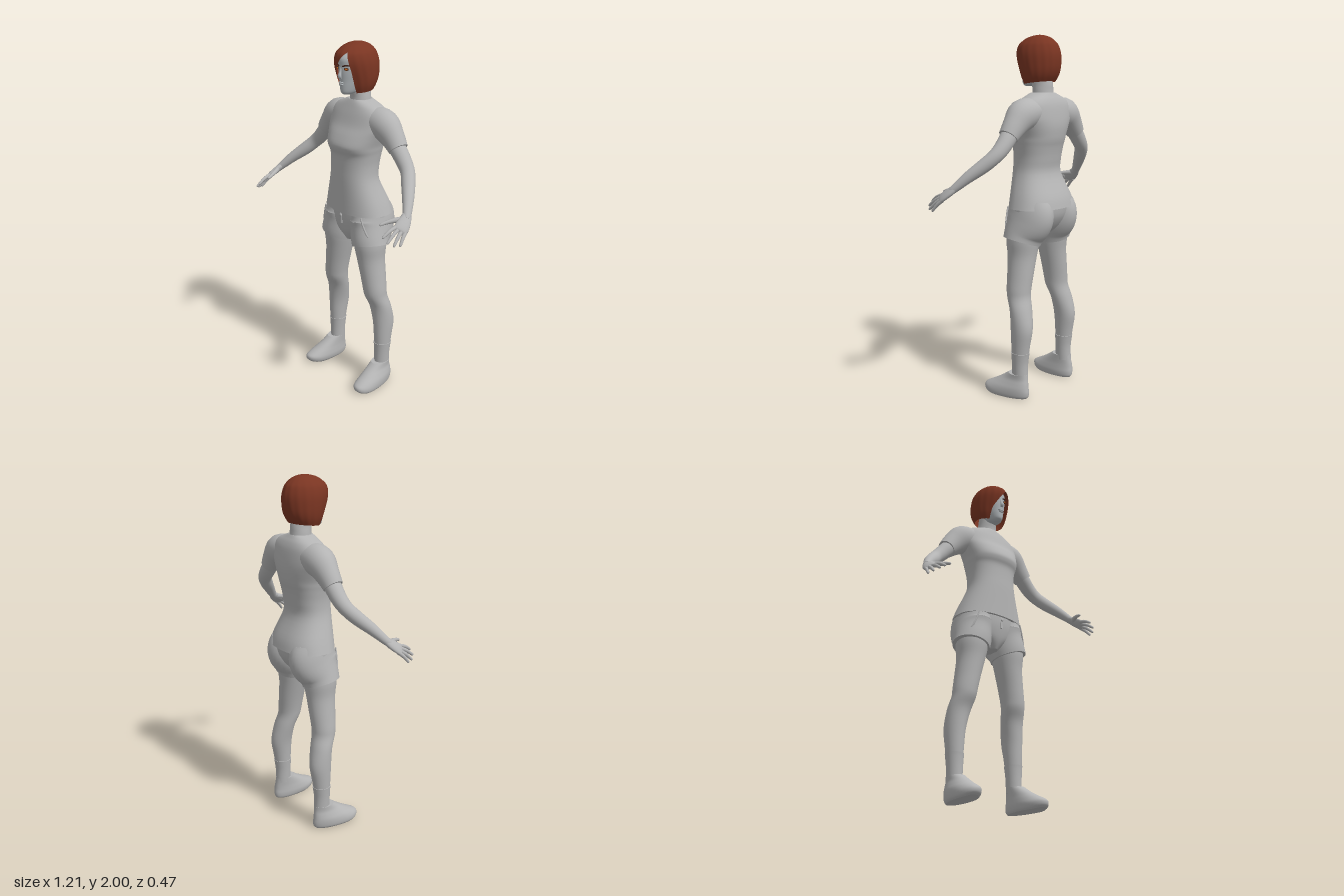
import * as THREE from 'three';

const mat = (name, color, side = THREE.FrontSide) => {
  const m = new THREE.MeshStandardMaterial({ color, side });
  m.name = name;
  return m;
};

// Smooth values between rows of numbers (Catmull-Rom)
function resample(rows, steps) {
  const out = [], last = rows.length - 1;
  for (let i = 0; i < last; i++) for (let k = 0; k < steps; k++) {
    const t = k / steps, p = j => rows[Math.min(last, Math.max(0, j))];
    out.push(rows[i].map((b, c) => {
      const a = p(i - 1)[c], d = p(i + 1)[c], e = p(i + 2)[c];
      return b + 0.5 * t * (d - a + t * (2 * a - 5 * b + 4 * d - e + t * (3 * (b - d) + e - a)));
    }));
  }
  out.push(rows[last].slice());
  return out;
}

// Skin over rows [x, y, z, radiusA, radiusB]; level rings go upward, others follow the path
function loft(rows, { level = false, seg = 28, steps = 4, power = 2, ref = new THREE.Vector3(0, 0, 1) } = {}) {
  const r = resample(rows, steps), pos = [], idx = [], n = r.length;
  const P = r.map(q => new THREE.Vector3(q[0], q[1], q[2]));
  const ring = j => {
    const t = level ? new THREE.Vector3(0, 1, 0)
      : P[Math.min(n - 1, j + 1)].clone().sub(P[Math.max(0, j - 1)]).normalize();
    const u = t.clone().cross(ref).normalize(), v = u.clone().cross(t);
    for (let i = 0; i < seg; i++) {
      const a = i / seg * Math.PI * 2, c = Math.cos(a), s = Math.sin(a);
      const f = w => Math.sign(w) * Math.abs(w) ** (2 / power);
      const q = P[j].clone().addScaledVector(u, r[j][3] * f(c)).addScaledVector(v, r[j][4] * f(s));
      pos.push(q.x, q.y, q.z);
    }
  };
  for (let j = 0; j < n; j++) ring(j);
  for (let j = 0; j < n - 1; j++) for (let i = 0; i < seg; i++) {
    const a = j * seg + i, b = j * seg + (i + 1) % seg;
    idx.push(a, a + seg, b, b, a + seg, b + seg);
  }
  // crisp end caps
  for (const j of [0, n - 1]) {
    const base = pos.length / 3;
    ring(j);
    pos.push(...P[j].toArray());
    for (let i = 0; i < seg; i++) {
      const a = base + i, b = base + (i + 1) % seg;
      idx.push(base + seg, ...(j ? [b, a] : [a, b]));
    }
  }
  const g = new THREE.BufferGeometry();
  g.setAttribute('position', new THREE.Float32BufferAttribute(pos, 3));
  g.setIndex(idx);
  g.computeVertexNormals();
  return g;
}

// Level rows written as [y, halfWidth, zFront, zBack]
const slab = (rows, opt) => loft(rows.map(([y, a, f, b]) => [0, y, (f + b) / 2, a, (f - b) / 2]), { level: true, ...opt });

// Bob haircut: rows [y, halfWidth, zFront, zBack, xRightEdge, xLeftEdge]
function bobHair(rows) {
  const r = resample(rows, 4), seg = 72, pos = [], idx = [];
  r.forEach(([y, a, f, b, xr, xl]) => {
    const p0 = Math.asin(xl / a), p1 = Math.PI * 2 + Math.asin(xr / a);
    for (let i = 0; i <= seg; i++) {
      const p = p0 + (p1 - p0) * i / seg;
      const k = 1 + 0.008 * Math.sin(p * 17 + y * 9);
      const lift = 0.018 * (1 - Math.cos(p)) / 2 * Math.max(0, 1 - (y - 1.735) / 0.1);
      pos.push(a * k * Math.sin(p), y + lift, (f + b) / 2 + (f - b) / 2 * k * Math.cos(p));
    }
  });
  for (let j = 0; j < r.length - 1; j++) for (let i = 0; i < seg; i++) {
    const a = j * (seg + 1) + i, b = a + 1, c = a + seg + 1;
    idx.push(a, b, c, b, c + 1, c);
  }
  const g = new THREE.BufferGeometry();
  g.setAttribute('position', new THREE.Float32BufferAttribute(pos, 3));
  g.setIndex(idx);
  g.computeVertexNormals();
  return g;
}

export function createModel() {
  const model = new THREE.Group();
  model.name = 'standingWoman';
  const grey = mat('plain grey', 0xb4b4b4), face = mat('face grey', 0xb0b5b8);
  const hair = mat('auburn hair', 0x7a3522, THREE.DoubleSide);
  const iris = mat('amber iris', 0xc8661e), dark = mat('dark lash', 0x3a2018);
  const add = (name, geo, m = grey) => {
    const o = new THREE.Mesh(geo, m);
    o.name = name;
    model.add(o);
    return o;
  };
  const ball = (name, m, p, s) => {
    const o = add(name, new THREE.SphereGeometry(1, 16, 10), m);
    o.position.set(...p);
    o.scale.set(...s);
    return o;
  };

  // Shirt, neck and hips
  add('shirt', slab([
    [1.065, 0.213, 0.06, -0.235], [1.13, 0.192, 0.06, -0.218], [1.25, 0.15, 0.06, -0.165],
    [1.33, 0.143, 0.058, -0.17], [1.395, 0.15, 0.06, -0.182], [1.43, 0.157, 0.074, -0.192],
    [1.46, 0.163, 0.077, -0.198], [1.51, 0.18, 0.054, -0.203], [1.56, 0.198, 0.024, -0.2],
    [1.62, 0.195, 0.0, -0.19], [1.655, 0.16, -0.015, -0.177], [1.677, 0.11, -0.025, -0.163],
    [1.692, 0.066, -0.033, -0.153]], { power: 2.35, seg: 48 }));
  add('neck', slab([[1.64, 0.062, -0.03, -0.16], [1.7, 0.057, -0.035, -0.152], [1.74, 0.052, -0.03, -0.15], [1.8, 0.05, -0.03, -0.14]]));
  add('shortsHips', slab([
    [0.885, 0.03, 0.0, -0.11], [0.92, 0.08, 0.02, -0.14], [0.96, 0.16, 0.034, -0.18],
    [1.02, 0.2, 0.046, -0.215], [1.09, 0.203, 0.05, -0.226]], { seg: 40 }));
  add('shortsFly', new THREE.BoxGeometry(0.012, 0.06, 0.008)).position.set(0, 1.025, 0.046);
  ball('shortsButton', grey, [0, 1.045, 0.052], [0.009, 0.009, 0.005]);

  // Head and face
  add('head', slab([
    [1.727, 0.018, 0.026, -0.02], [1.74, 0.036, 0.04, -0.08], [1.77, 0.05, 0.044, -0.12],
    [1.8, 0.059, 0.045, -0.14], [1.84, 0.067, 0.048, -0.15], [1.88, 0.072, 0.048, -0.16],
    [1.92, 0.072, 0.046, -0.16], [1.96, 0.05, 0.01, -0.13]], { seg: 40 }), face);
  add('nose', loft([
    [0, 1.875, 0.043, 0.005, 0.005], [0, 1.85, 0.05, 0.007, 0.006],
    [0, 1.828, 0.056, 0.011, 0.009], [0, 1.815, 0.048, 0.009, 0.004]], { seg: 12, ref: new THREE.Vector3(0, 0, 1) }), face);
  ball('upperLip', face, [0, 1.792, 0.044], [0.021, 0.005, 0.007]);
  ball('lowerLip', face, [0, 1.782, 0.044], [0.017, 0.006, 0.007]);
  for (const s of [1, -1]) {
    ball('lash', dark, [s * 0.033, 1.866, 0.037], [0.014, 0.008, 0.004]).rotation.y = s * 0.35;
    ball('iris', iris, [s * 0.034, 1.865, 0.04], [0.009, 0.0055, 0.004]).rotation.y = s * 0.35;
    add('eyebrow', loft([[s * 0.013, 1.879, 0.048, 0.003, 0.003], [s * 0.032, 1.885, 0.041, 0.004, 0.003],
      [s * 0.054, 1.884, 0.018, 0.002, 0.002]], { seg: 8 }), dark);
  }
  add('hair', bobHair([
    [1.735, 0.088, 0.01, -0.155, -0.05, 0.06], [1.77, 0.101, 0.026, -0.174, -0.052, 0.064],
    [1.81, 0.108, 0.04, -0.187, -0.048, 0.066], [1.86, 0.11, 0.057, -0.194, -0.025, 0.066],
    [1.9, 0.107, 0.065, -0.193, 0.0, 0.06], [1.935, 0.097, 0.061, -0.183, 0.025, 0.05],
    [1.957, 0.084, 0.046, -0.17, 0.04, 0.04], [1.982, 0.058, 0.01, -0.14, 0.02, 0.02],
    [1.995, 0.03, -0.03, -0.105, 0.008, 0.008], [2.0, 0.004, -0.066, -0.074, 0, 0]]), hair);

  // Paired limbs
  for (const s of [1, -1]) {
    const side = s > 0 ? 'left' : 'right';
    const limb = (name, rows, opt) => add(side + name, loft(rows.map(([x, ...q]) => [s * x, ...q]), opt));

    limb('Sleeve', [
      [0.1, 1.59, -0.1, 0.075, 0.08], [0.185, 1.573, -0.1, 0.086, 0.082],
      [0.25, 1.52, -0.1, 0.068, 0.064], [0.297, 1.467, -0.097, 0.053, 0.054]]);
    limb('Arm', [
      [0.25, 1.51, -0.098, 0.044, 0.047], [0.297, 1.463, -0.097, 0.045, 0.047], [0.345, 1.41, -0.094, 0.042, 0.043],
      [0.388, 1.367, -0.08, 0.038, 0.039], [0.432, 1.32, -0.042, 0.037, 0.037],
      [0.487, 1.265, 0.012, 0.03, 0.031], [0.535, 1.207, 0.065, 0.021, 0.023], [0.545, 1.193, 0.08, 0.018, 0.021]]);

    // Hand: palm widened across the knuckles, four fingers and a thumb
    const across = new THREE.Vector3(s * 0.65, -0.4, -0.65).normalize();
    limb('Palm', [
      [0.532, 1.21, 0.062, 0.018, 0.022], [0.546, 1.188, 0.088, 0.018, 0.032],
      [0.558, 1.165, 0.12, 0.016, 0.038], [0.564, 1.15, 0.14, 0.012, 0.036], [0.566, 1.145, 0.147, 0.003, 0.025]], { ref: across, seg: 20 });
    const tips = [[0.535, 1.125, 0.235], [0.565, 1.103, 0.23], [0.587, 1.088, 0.205], [0.598, 1.083, 0.172]];
    tips.forEach(([x, y, z], i) => {
      const w = (i - 1.5) * 0.018;
      const b = [0.56 + 0.65 * w, 1.155 - 0.4 * w, 0.132 - 0.65 * w];
      const mix = (t, lift) => [b[0] + (x - b[0]) * t, b[1] + (y - b[1]) * t + lift, b[2] + (z - b[2]) * t];
      limb('Finger', [[...mix(0, 0), 0.011, 0.011], [...mix(0.5, 0.006), 0.0095, 0.0095],
        [...mix(0.92, 0.001), 0.007, 0.007], [...mix(1, 0), 0.002, 0.002]], { seg: 10, steps: 3, ref: across });
    });
    limb('Thumb', [[0.538, 1.192, 0.09, 0.014, 0.016], [0.512, 1.188, 0.13, 0.013, 0.013],
      [0.492, 1.18, 0.17, 0.01, 0.01], [0.482, 1.172, 0.198, 0.007, 0.007], [0.48, 1.169, 0.204, 0.002, 0.002]], { seg: 12, ref: across });

    // Shorts leg with a tilted hem and pocket seam
    limb('ShortsLeg', [
      [0.137, 0.878, -0.055, 0.105, 0.106], [0.126, 0.92, -0.062, 0.105, 0.116],
      [0.113, 0.98, -0.083, 0.104, 0.138], [0.107, 1.03, -0.092, 0.1, 0.144], [0.1, 1.085, -0.085, 0.096, 0.128]], { seg: 36 });
    limb('PocketSeam', [[0.15, 1.065, 0.034, 0.004, 0.004], [0.165, 1.02, 0.03, 0.005, 0.005],
      [0.187, 0.965, 0.018, 0.005, 0.005], [0.2, 0.945, 0.0, 0.004, 0.004]], { seg: 8 });

    // Leg, sock and shoe
    limb('Leg', [
      [0.203, 0.11, -0.095, 0.036, 0.044], [0.203, 0.2, -0.095, 0.041, 0.045], [0.203, 0.3, -0.1, 0.048, 0.055],
      [0.2, 0.4, -0.105, 0.056, 0.065], [0.188, 0.5, -0.09, 0.065, 0.061], [0.175, 0.57, -0.066, 0.066, 0.066],
      [0.169, 0.62, -0.061, 0.068, 0.07], [0.155, 0.7, -0.06, 0.071, 0.076], [0.137, 0.8, -0.058, 0.078, 0.084],
      [0.13, 0.88, -0.058, 0.089, 0.096], [0.125, 0.95, -0.06, 0.09, 0.098]], { level: true });
    limb('Sock', [[0.203, 0.11, -0.095, 0.039, 0.047], [0.203, 0.19, -0.095, 0.043, 0.047],
      [0.203, 0.24, -0.097, 0.047, 0.051], [0.203, 0.262, -0.098, 0.049, 0.054]], { level: true });
    const shoe = limb('Shoe', [
      [0.218, 0, -0.012, 0.05, 0.13], [0.218, 0.012, -0.01, 0.058, 0.142], [0.217, 0.035, -0.012, 0.061, 0.143],
      [0.216, 0.06, -0.025, 0.058, 0.127], [0.212, 0.085, -0.044, 0.051, 0.105],
      [0.207, 0.11, -0.063, 0.045, 0.082], [0.205, 0.138, -0.082, 0.043, 0.06]], { level: true, power: 2.2, seg: 36 });
    // Wider toe turned a little outward, narrower heel
    const p = shoe.geometry.attributes.position;
    for (let i = 0; i < p.count; i++) {
      const z = p.getZ(i), low = Math.max(0, 1 - p.getY(i) / 0.138), x = p.getX(i) - s * 0.212;
      p.setX(i, s * (0.212 + 0.08 * z * low) + x * (1 + 1.1 * z * low));
      p.setY(i, p.getY(i) + 0.6 * Math.max(0, z - 0.05) ** 2 * 3);
    }
    shoe.geometry.computeVertexNormals();
  }
  return model;
}
